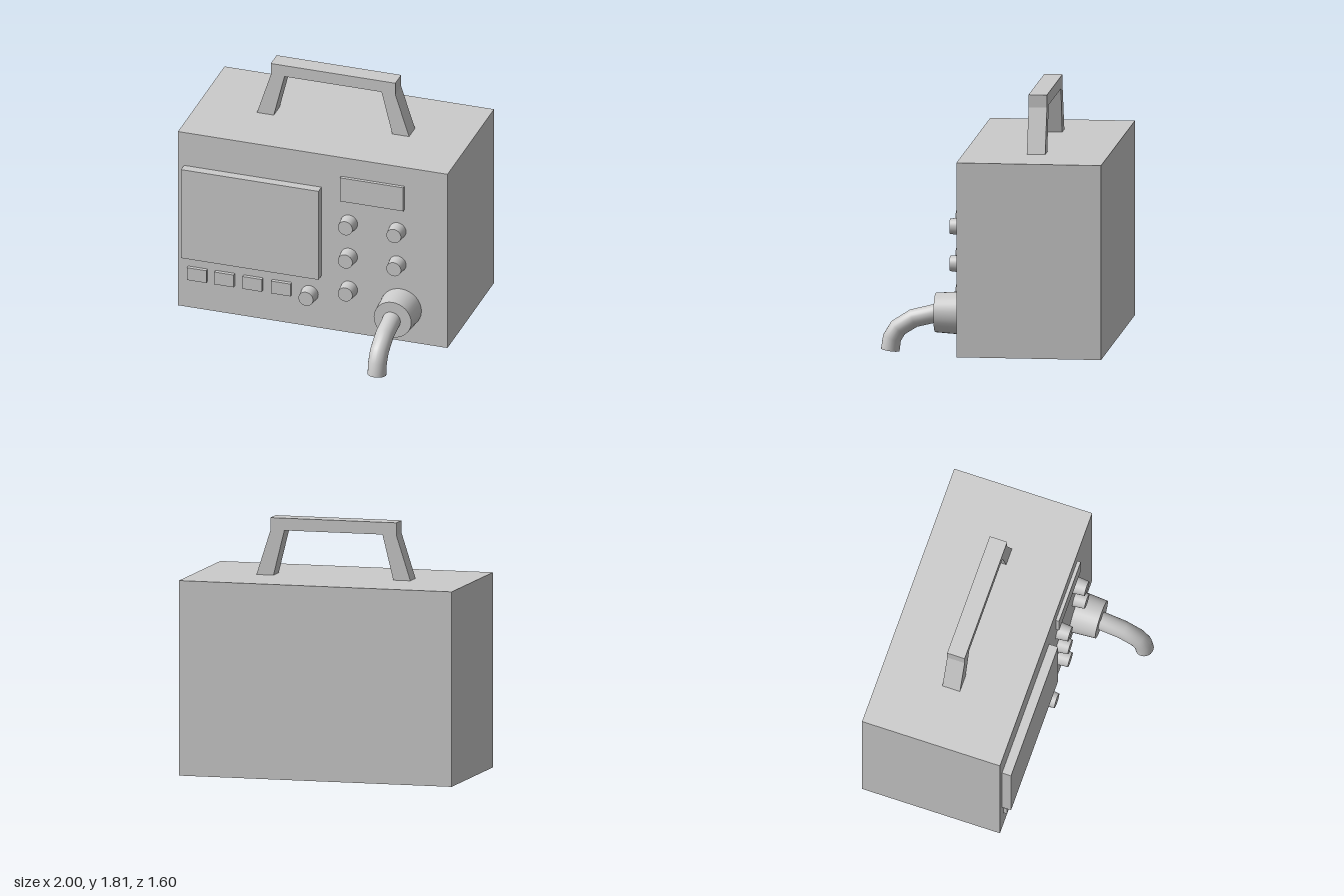
import * as THREE from 'three';

const material = new THREE.MeshStandardMaterial({ color: 0xcccccc });
const FRONT = 0.225; // z of the front panel

export function createModel() {
  const model = new THREE.Group();

  const add = (name, geometry, x = 0, y = 0, z = 0) => {
    const mesh = new THREE.Mesh(geometry, material);
    mesh.name = name;
    mesh.position.set(x, y, z);
    model.add(mesh);
    return mesh;
  };

  // Box spanning the given limits
  const box = (name, x0, x1, y0, y1, z0, z1) =>
    add(name, new THREE.BoxGeometry(x1 - x0, y1 - y0, z1 - z0), (x0 + x1) / 2, (y0 + y1) / 2, (z0 + z1) / 2);

  // Tapered round part standing out of the front panel
  const stud = (name, x, y, baseRadius, tipRadius, depth) => {
    const geometry = new THREE.CylinderGeometry(tipRadius, baseRadius, depth, 32);
    geometry.rotateX(Math.PI / 2);
    return add(name, geometry, x, y, FRONT + depth / 2);
  };

  // Casing, screen and label plate
  box('casing', -1, 1, 0.012, 1.397, -0.8, FRONT);
  box('screen', -0.955, 0.065, 0.43, 1.135, FRONT, 0.292);
  box('labelPlate', 0.21, 0.68, 1.06, 1.247, FRONT, 0.25);

  // Row of push buttons under the screen
  [-0.853, -0.65, -0.441, -0.228].forEach((x, i) =>
    box(`button${i + 1}`, x - 0.072, x + 0.072, 0.24, 0.338, FRONT, 0.252));

  // Knobs
  [[0.27, 0.885], [0.63, 0.885], [0.27, 0.62], [0.63, 0.62], [0.27, 0.358], [-0.022, 0.273]].forEach(([x, y], i) =>
    stud(`knob${i + 1}`, x, y, 0.063, 0.054, 0.088));

  // Hose socket
  stud('hoseSocket', 0.655, 0.273, 0.152, 0.139, 0.188);

  // Hose bending down to the ground, one straight section per path point
  const hoseX = 0.648, hoseRadius = 0.066;
  const points = [[0.27, 0.4], [0.228, 0.57], [0.158, 0.68], [0.085, 0.723], [0, 0.735]]
    .map(([y, z]) => new THREE.Vector3(hoseX, y, z));
  const path = new THREE.CatmullRomCurve3(points);
  path.getUtoTmapping = (u) => u;
  add('hose', new THREE.TubeGeometry(path, points.length - 1, hoseRadius, 24));
  const end = add('hoseEnd', new THREE.CircleGeometry(hoseRadius, 24), hoseX, 0, 0.735);
  end.rotation.x = Math.PI / 2;

  // Carrying handle: outline of the right half, mirrored
  const half = [[0.44, 1.395], [0.565, 1.395], [0.462, 1.715], [0.462, 1.805]];
  const outline = [
    [0.36, 1.718], ...half,
    ...half.map(([x, y]) => [-x, y]).reverse(), [-0.36, 1.718],
  ].map(([x, y]) => new THREE.Vector2(x, y));
  add('handle', new THREE.ExtrudeGeometry(new THREE.Shape(outline), { depth: 0.13, bevelEnabled: false }), 0, 0, -0.352);

  return model;
}
